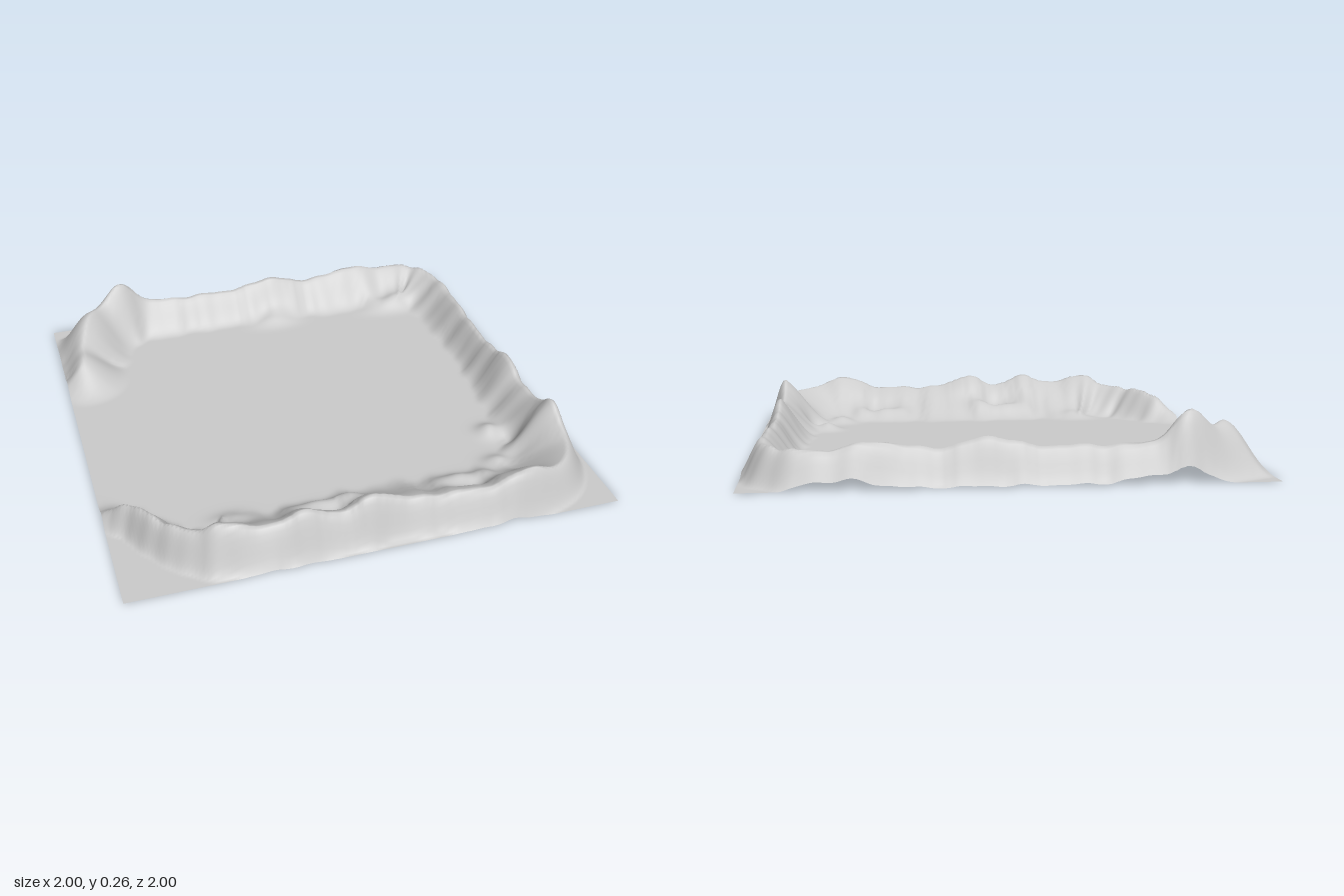
import * as THREE from 'three';

// Plan of the rim crest: x, z, width of inner slope, width of outer slope
const CREST = [
  [-1.04, -0.44, 0.14, 0.1],
  [-0.92, -0.49, 0.2, 0.12],
  [-0.89, -0.64, 0.2, 0.13],
  [-0.82, -0.79, 0.2, 0.22],
  [-0.67, -0.91, 0.16, 0.12],
  [-0.3, -0.92, 0.13, 0.09],
  [0.3, -0.92, 0.15, 0.09],
  [0.8, -0.92, 0.22, 0.09],
  [0.9, -0.8, 0.18, 0.1],
  [0.9, -0.2, 0.11, 0.09],
  [0.9, 0.4, 0.18, 0.09],
  [0.88, 0.75, 0.28, 0.1],
  [0.74, 0.9, 0.3, 0.09],
  [0.1, 0.9, 0.3, 0.09],
  [-0.62, 0.89, 0.27, 0.1],
  [-0.78, 0.78, 0.16, 0.07],
  [-0.9, 0.6, 0.12, 0.06],
  [-1.04, 0.46, 0.12, 0.08],
];

// Summits along the crest: x, z, rise above the even rim
const SUMMITS = [
  [-0.67, -0.91, 0.12], [-0.83, -0.78, 0.06], [0.08, -0.92, 0.04], [0.5, -0.92, 0.03],
  [0.91, 0.12, 0.05], [0.89, 0.56, 0.08], [0.63, 0.9, 0.06],
  [0, 0.9, 0.055], [-0.3, 0.9, 0.055], [-0.58, 0.89, 0.055],
];

// Hummocks and hollows on the inner slopes: x, z, height, radius along x
const HUMMOCKS = [
  [-0.15, 0.72, 0.035, 0.14], [-0.12, 0.8, -0.03, 0.14],
  [0.44, 0.71, 0.03, 0.12], [0.45, 0.79, -0.025, 0.12],
  [-0.52, 0.67, 0.025, 0.08], [0.64, 0.63, 0.03, 0.06],
  [0.7, 0.41, 0.035, 0.05], [0.77, 0.5, -0.025, 0.04],
  [0.08, -0.79, 0.035, 0.1], [0.7, -0.76, 0.05, 0.12],
];

const SEGMENTS = 160, SAMPLES = 1400;
const bump = (dx, dz, rx, rz) => Math.exp(-((dx / rx) ** 2) - (dz / rz) ** 2);

function sampleCrest() {
  const curve = new THREE.CatmullRomCurve3(CREST.map(([x, z]) => new THREE.Vector3(x, 0, z)));
  const samples = [];
  for (let i = 0; i <= SAMPLES; i++) {
    const t = i / SAMPLES, { x, z } = curve.getPoint(t), tangent = curve.getTangent(t);
    const f = t * (CREST.length - 1), k = Math.min(Math.floor(f), CREST.length - 2);
    const mix = c => THREE.MathUtils.lerp(CREST[k][c], CREST[k + 1][c], f - k);
    // Fine gullies flute the slopes and nick the crest
    const ripple = Math.sin(31 * (x + z)) + 0.6 * Math.sin(52 * (x + z) + 1);
    let h = 0.14 + 0.004 * ripple;
    for (const [sx, sz, rise] of SUMMITS) h += rise * bump(x - sx, z - sz, 0.1, 0.1);
    // Both ends sink away at the open side
    h *= THREE.MathUtils.smoothstep(x, -1.06, -0.86);
    samples.push({
      x, z, h, tx: tangent.x, tz: tangent.z,
      inner: mix(2) * (1 + 0.05 * ripple), outer: mix(3) * (1 + 0.04 * ripple),
    });
  }
  return samples;
}

function heightAt(x, z, samples) {
  let best = null, bestD = Infinity;
  for (const s of samples) {
    const d = (s.x - x) ** 2 + (s.z - z) ** 2;
    if (d < bestD) { bestD = d; best = s; }
  }
  const inside = best.tx * (z - best.z) - best.tz * (x - best.x) > 0;
  const t = Math.min(1, Math.sqrt(bestD) / (inside ? best.inner : best.outer));
  // Steep wall outside, gentler foot inside
  const smooth = 1 - t * t * (3 - 2 * t);
  let y = best.h * (inside ? 0.6 * smooth + 0.4 * (1 - t) ** 2 : smooth);
  if (inside) {
    const fade = Math.min(1, t * 3);
    for (const [hx, hz, h, r] of HUMMOCKS) y += fade * h * bump(x - hx, z - hz, r, 0.05);
  }
  return Math.max(0, y);
}

export function createModel() {
  const group = new THREE.Group();
  group.name = 'terrain';
  const samples = sampleCrest();

  // One continuous sheet: flat basin floor, raised rim and low corners
  const geometry = new THREE.PlaneGeometry(2, 2, SEGMENTS, SEGMENTS).rotateX(-Math.PI / 2);
  const pos = geometry.attributes.position;
  for (let i = 0; i < pos.count; i++) pos.setY(i, heightAt(pos.getX(i), pos.getZ(i), samples));
  geometry.computeVertexNormals();

  const ground = new THREE.Mesh(geometry, new THREE.MeshStandardMaterial({ color: 0xcccccc, side: THREE.DoubleSide }));
  ground.name = 'basinWithRim';
  group.add(ground);
  return group;
}
